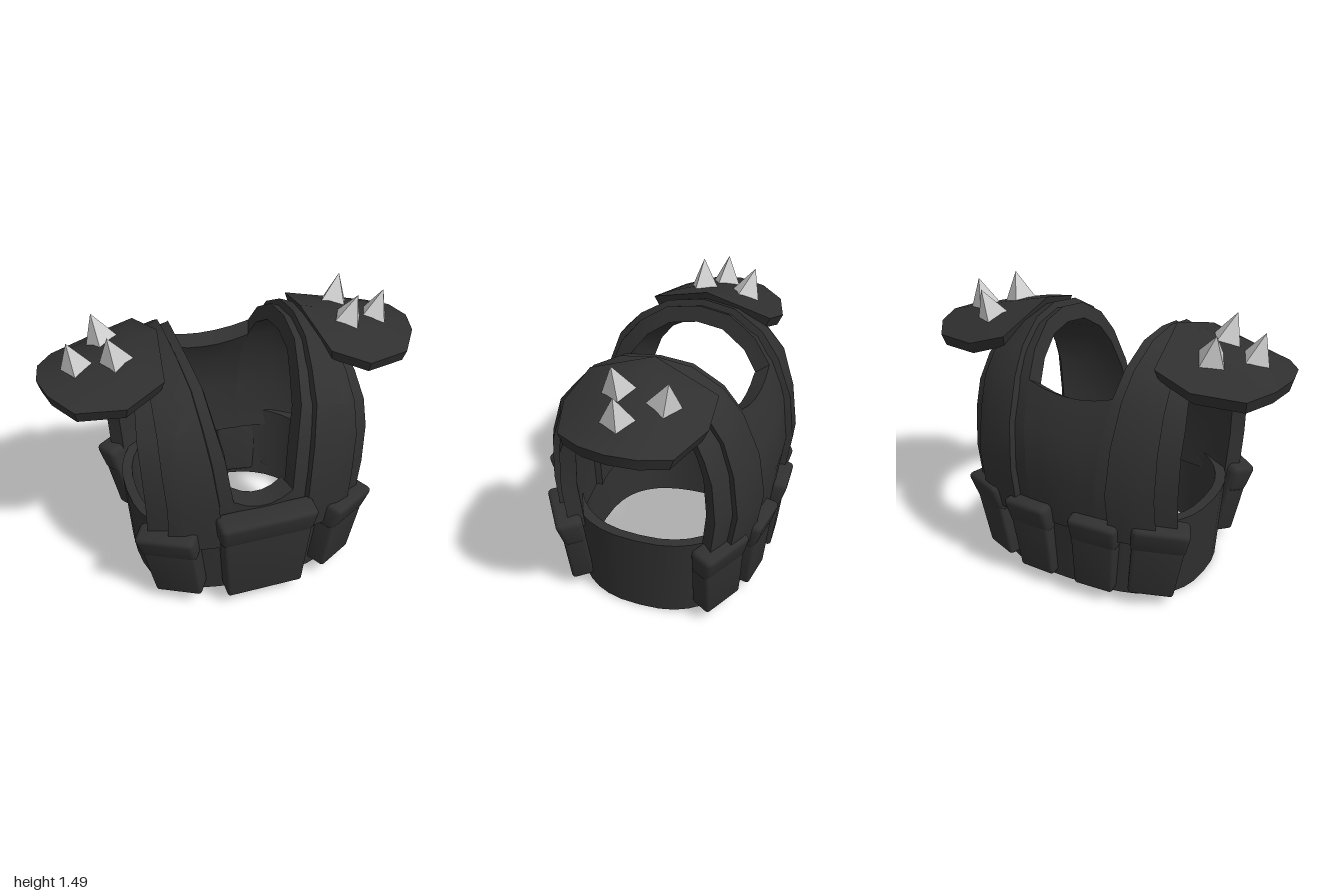
import * as THREE from 'three';
import { toCreasedNormals } from 'three/addons/utils/BufferGeometryUtils.js';
import { RoundedBoxGeometry } from 'three/addons/geometries/RoundedBoxGeometry.js';

const V = (x, y, z) => new THREE.Vector3(x, y, z);
const dark = new THREE.MeshStandardMaterial({ color: 0x303030 });
const metal = new THREE.MeshStandardMaterial({ color: 0xcccccc, flatShading: true });

// Strap stations from front waist over the shoulder to back waist:
// neck edge, middle and arm edge points.
const STRAP = [
  [.15, .40, .48, .40, .40, .44, .58, .42, .35],
  [.16, .68, .49, .40, .68, .47, .59, .68, .38],
  [.19, .92, .45, .42, .92, .45, .60, .90, .37],
  [.23, 1.12, .38, .42, 1.10, .40, .60, 1.04, .32],
  [.25, 1.26, .27, .42, 1.21, .28, .58, 1.16, .23],
  [.28, 1.35, .13, .42, 1.29, .13, .56, 1.24, .10],
  [.29, 1.38, -.05, .42, 1.33, -.05, .55, 1.26, -.05],
  [.28, 1.36, -.22, .42, 1.30, -.22, .56, 1.24, -.20],
  [.26, 1.26, -.37, .42, 1.22, -.37, .58, 1.16, -.32],
  [.24, 1.13, -.46, .42, 1.12, -.46, .60, 1.03, -.39],
  [.22, .92, -.55, .42, .92, -.52, .60, .90, -.43],
  [.20, .68, -.58, .42, .68, -.55, .60, .68, -.45],
  [.20, .40, -.54, .42, .40, -.50, .59, .42, -.42],
].map(r => [0, 3, 6].map(k => V(r[k], r[k + 1], r[k + 2])));

// Pad outline in x, z
const PAD = [[1, -.06], [.97, .08], [.87, .23], [.63, .31], [.43, .26],
  [.38, -.06], [.43, -.40], [.63, -.42], [.88, -.34], [.97, -.21]];

// Moves a point towards the inside of the torso
function inward(p, d) {
  const t = V(p.x * .4, Math.min(p.y, .85), -.04).sub(p).normalize();
  return p.clone().addScaledVector(t, d);
}

// Solid sheet from a grid of outer points and a rule for the inner ones
function slab(grid, innerOf, side = 1) {
  const place = g => g.map(row => {
    const r = row.map(p => V(p.x * side, p.y, p.z));
    return side < 0 ? r.reverse() : r;
  });
  const O = place(grid), I = place(grid.map(r => r.map(innerOf)));
  const pos = [];
  const quad = (a, b, c, d) => [a, b, c, a, c, d].forEach(p => pos.push(p.x, p.y, p.z));
  const n = O.length - 1, m = O[0].length - 1, rim = [];
  for (let i = 0; i < n; i++) for (let j = 0; j < m; j++) {
    quad(O[i][j], O[i][j + 1], O[i + 1][j + 1], O[i + 1][j]);
    quad(I[i][j], I[i + 1][j], I[i + 1][j + 1], I[i][j + 1]);
  }
  for (let j = 0; j < m; j++) rim.push([0, j]);
  for (let i = 0; i < n; i++) rim.push([i, m]);
  for (let j = m; j > 0; j--) rim.push([n, j]);
  for (let i = n; i > 0; i--) rim.push([i, 0]);
  rim.forEach(([i, j], k) => {
    const [a, b] = rim[(k + 1) % rim.length];
    quad(O[a][b], O[i][j], I[i][j], I[a][b]);
  });
  const g = new THREE.BufferGeometry();
  g.setAttribute('position', new THREE.Float32BufferAttribute(pos, 3));
  return toCreasedNormals(g, .6);
}

function add(parent, name, geo, mat = dark) {
  const mesh = new THREE.Mesh(geo, mat);
  mesh.name = name;
  parent.add(mesh);
  return mesh;
}

// Waist band: a rounded oblong ring, dipping at the sides
function belt() {
  const rows = [0, .5, 1].map(v => {
    const row = [];
    for (let k = 0; k <= 40; k++) {
      const t = k / 40 * Math.PI * 2, s = Math.sin(t), c = Math.cos(t);
      const e = 2 / 2.5, f = c * c;
      const x = Math.sign(s) * Math.abs(s) ** e * (.565 + .035 * v);
      const z = -.03 + Math.sign(c) * Math.abs(c) ** e * (.485 + .04 * v);
      row.push(V(x, THREE.MathUtils.lerp(.055 * f, .46 + .05 * f, v), z));
    }
    return row;
  });
  return slab(rows, p => V(p.x * .91, p.y, -.03 + (p.z + .03) * .91));
}

// Panel spanning both straps along their neck edges; its neckline dips
function panel(stations, edge, dip, thick) {
  const rows = stations.map(i => [-1, -.6, -.2, .2, .6, 1].map(t => {
    const p = STRAP[i][0], k = 1 - t * t;
    return V(p.x * t, p.y - (i === edge ? dip * k : 0), p.z + Math.sign(p.z) * .015 * k);
  }));
  return slab(rows, p => inward(p, thick));
}

// Rounded box that narrows downwards in width and, from the front, in depth
function taperedBox(w, h, d, radius, narrow, thin) {
  const geo = new RoundedBoxGeometry(w, h, d, 2, radius);
  const p = geo.attributes.position;
  for (let i = 0; i < p.count; i++) {
    const v = .5 - p.getY(i) / h;
    p.setX(i, p.getX(i) * (1 - narrow * v));
    p.setZ(i, p.getZ(i) - (p.getZ(i) > 0 ? thin * v : 0));
  }
  geo.computeVertexNormals();
  return toCreasedNormals(geo, .6);
}

// Pouch with a snug wedge-shaped flap; w is the flap's width
function pouch(parent, name, [x, y, z], [tilt, yaw, roll], w, h) {
  const g = new THREE.Group();
  g.name = name;
  add(g, 'pouchBody', taperedBox(w * .94, h, .12, .02, .16, 0));
  const flap = add(g, 'pouchFlap', taperedBox(w, .16, .145, .03, .06, .03));
  flap.position.set(0, h / 2 - .065, .015);
  g.position.set(x, y, z);
  g.rotation.set(tilt, yaw, roll, 'YXZ');
  parent.add(g);
}

const padY = (x, z) => 1.42 - .28 * (x - .38) - .85 * (z + .05) ** 2;

// Arched shoulder plate
function pad(side) {
  const rows = [0, .35, .7, 1].map(s => [...PAD, PAD[0]].map(([px, pz]) => {
    const x = .68 + (px - .68) * s, z = -.05 + (pz + .05) * s;
    return V(x, padY(x, z), z);
  }));
  return slab(rows, p => V(.68 + (p.x - .68) * .94, p.y - .065, -.05 + (p.z + .05) * .92), side);
}

export function createModel() {
  const vest = new THREE.Group();
  vest.name = 'armouredVest';
  add(vest, 'waistBand', belt());
  add(vest, 'chestPanel', panel([0, 1], 1, .05, .12));
  add(vest, 'backPanel', panel([9, 10, 11, 12], 9, .04, .09));

  // Raised middle layer of the strap
  const raised = STRAP.map(([a, m, b]) =>
    [a.clone().lerp(m, .3), m, m.clone().lerp(b, .42)].map(p => inward(p, -.035)));

  for (const side of [1, -1]) {
    const half = new THREE.Group();
    half.name = side > 0 ? 'leftSide' : 'rightSide';
    vest.add(half);
    add(half, 'shoulderStrap', slab(STRAP, p => inward(p, .085), side));
    add(half, 'strapOverlay', slab(raised, p => inward(p, .06), side));
    add(half, 'shoulderPad', pad(side));

    // Spikes stand along the pad's normal
    for (const [x, z] of [[.80, -.04], [.635, -.205], [.615, .03]]) {
      const n = V(.28 * side, 1, 1.7 * (z + .05)).normalize();
      const spike = add(half, 'spike', new THREE.ConeGeometry(.09, .16, 4), metal);
      spike.position.set(x * side, padY(x, z), z).addScaledVector(n, .065);
      spike.quaternion.setFromUnitVectors(V(0, 1, 0), n);
      spike.rotateY(.3 * side);
    }

    pouch(half, 'frontSidePouch', [.455 * side, .285, .395], [.14, .58 * side, -.12 * side], .325, .42);
    pouch(half, 'backSidePouch', [.475 * side, .285, -.43], [.14, (Math.PI - .47) * side, .12 * side], .30, .42);
    pouch(half, 'backPouch', [.18 * side, .285, -.52], [.12, (Math.PI - .1) * side, .05 * side], .27, .42);
  }
  pouch(vest, 'frontPouch', [0, .34, .515], [.09, 0, 0], .53, .53);
  return vest;
}
